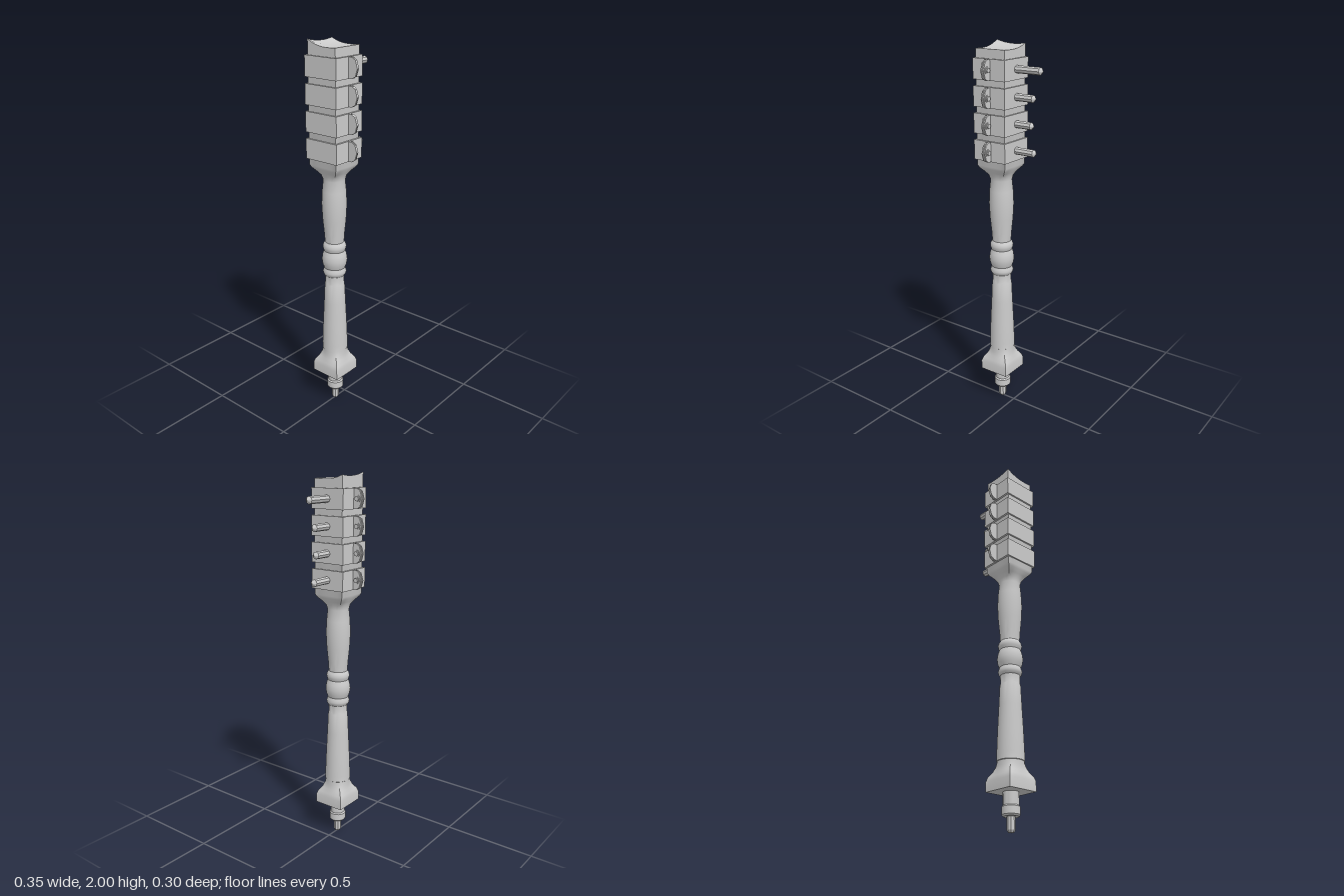
import * as THREE from 'three';
import { toCreasedNormals } from 'three/addons/utils/BufferGeometryUtils.js';

const material = new THREE.MeshStandardMaterial({ color: 0xcccccc });
const AXIS = -0.08; // x of the shaft's centre line

function add(parent, name, geometry, x = 0, y = 0, z = 0) {
  const mesh = new THREE.Mesh(geometry, material);
  mesh.name = name;
  mesh.position.set(x, y, z);
  parent.add(mesh);
  return mesh;
}

// Lofts sections [y, half width, squareness 0..1] with a shaped top cap
function loft(sections, topHeight, sides = 32) {
  const pos = [], index = [];
  const point = (half, square, a) => {
    const c = Math.cos(a), s = Math.sin(a);
    const r = half * (1 - square + square / Math.max(Math.abs(c), Math.abs(s)));
    return [r * c, r * s];
  };
  const rows = sections.map(([y, half, square]) => ({ y, half, square }));
  const last = rows[rows.length - 1];
  for (const k of [1, 0.75, 0.5, 0.25, 0.001]) rows.push({ half: last.half * k, square: 1, top: true });
  rows.unshift({ y: rows[0].y, half: 0.001, square: rows[0].square });
  for (const row of rows) {
    for (let i = 0; i < sides; i++) {
      const [x, z] = point(row.half, row.square, (i / sides) * Math.PI * 2);
      pos.push(x, row.top ? topHeight(x, z) : row.y, z);
    }
  }
  for (let j = 0; j < rows.length - 1; j++) {
    for (let i = 0; i < sides; i++) {
      const a = j * sides + i, b = j * sides + (i + 1) % sides;
      index.push(a, a + sides, b, b, a + sides, b + sides);
    }
  }
  const g = new THREE.BufferGeometry();
  g.setAttribute('position', new THREE.Float32BufferAttribute(pos, 3));
  g.setIndex(index);
  return toCreasedNormals(g, 0.6);
}

function extrude(points, depth) {
  const shape = new THREE.Shape(points.map(([x, y]) => new THREE.Vector2(x, y)));
  return new THREE.ExtrudeGeometry(shape, { depth, bevelEnabled: false });
}

// Half of a clamp: a U-shaped strap opening toward +x
function strapHalf(height) {
  const o = 0.096, i = 0.0875, w = 0.099, v = 0.0885, e = -0.004;
  const g = extrude([[e, w], [-o, w], [-o, -w], [e, -w], [e, -v], [-i, -v], [-i, v], [e, v]], height);
  return g.rotateX(-Math.PI / 2).translate(0, -height / 2, 0);
}

// Tapered ear, standing in the zy plane and reaching outward along +z
function ear(reach, thickness) {
  const g = extrude([[0.088, -0.05], [0.118, -0.05], [reach - 0.012, -0.038], [reach, 0],
    [reach - 0.012, 0.038], [0.118, 0.05], [0.088, 0.05]], thickness);
  return g.rotateY(-Math.PI / 2).translate(thickness / 2, 0, 0);
}

// Clamp of two straps, paired ears and bolts, with a spike on one side
function clamp(y, spikeEnd) {
  const group = new THREE.Group();
  group.name = 'clamp';
  group.position.set(AXIS, y, 0);
  const strap = strapHalf(0.102);
  add(group, 'rightStrap', strap);
  add(group, 'leftStrap', strap).rotation.y = Math.PI;

  for (const s of [1, -1]) {
    const side = new THREE.Group();
    side.name = s > 0 ? 'frontEars' : 'backEars';
    add(side, 'outerEar', ear(0.152, 0.007), -0.004);
    add(side, 'innerEar', ear(0.148, 0.007), 0.006);
    const washer = new THREE.CylinderGeometry(0.018, 0.018, 0.004, 16).rotateZ(Math.PI / 2);
    add(side, 'washer', washer, 0.011, 0, 0.122);
    const head = new THREE.CylinderGeometry(0.013, 0.013, 0.008, 6).toNonIndexed().rotateZ(Math.PI / 2);
    head.computeVertexNormals();
    add(side, 'boltHead', head, 0.016, 0, 0.122);
    side.scale.z = s;
    group.add(side);
  }

  // Spike: eight-sided rod with a pointed tip
  const length = spikeEnd - AXIS;
  const rod = new THREE.LatheGeometry([[0, 0.08], [0.019, 0.08], [0.019, length - 0.016], [0, length]]
    .map(([r, h]) => new THREE.Vector2(r, h)), 8).rotateZ(-Math.PI / 2);
  add(group, 'spike', toCreasedNormals(rod, 0.3));
  return group;
}

export function createModel() {
  const model = new THREE.Group();
  model.name = 'studdedClub';

  // Turned handle running from square pommel to square head
  const body = [
    [0.19, 0.085, 1], [0.24, 0.085, 1], [0.262, 0.08, 0.9], [0.285, 0.071, 0.55], [0.31, 0.067, 0.2],
    [0.335, 0.066, 0], [0.337, 0.069, 0], [0.37, 0.069, 0], [0.5, 0.064, 0], [0.62, 0.058, 0], [0.73, 0.053, 0],
    [0.737, 0.05, 0], [0.78, 0.051, 0], [0.79, 0.059, 0], [0.802, 0.062, 0], [0.814, 0.058, 0], [0.825, 0.055, 0],
    [0.845, 0.063, 0], [0.872, 0.067, 0], [0.9, 0.063, 0], [0.922, 0.055, 0], [0.935, 0.06, 0], [0.947, 0.062, 0],
    [0.96, 0.058, 0], [0.972, 0.05, 0], [1.02, 0.053, 0], [1.1, 0.061, 0], [1.18, 0.065, 0], [1.25, 0.062, 0],
    [1.31, 0.056, 0], [1.335, 0.06, 0.2], [1.355, 0.07, 0.55], [1.375, 0.081, 0.9], [1.39, 0.0865, 1],
    [1.92, 0.0865, 1],
  ];
  // Rough, sloping end of the head, highest at the back
  const topHeight = (x, z) => {
    const t = 0.5 - z / 0.173, u = x / 0.0865;
    return 1.966 + 0.006 * (1 - t) ** 2 + t ** 3 * (0.02 + 0.01 * u * u - 0.004 * u);
  };
  add(model, 'body', loft(body, topHeight), AXIS);

  // Stepped collar and faceted stud under the pommel
  const collar = [[0, 0.075], [0.038, 0.075], [0.045, 0.083], [0.045, 0.12], [0.039, 0.127],
    [0.039, 0.19], [0, 0.19]].map(([r, y]) => new THREE.Vector2(r, y));
  add(model, 'collar', toCreasedNormals(new THREE.LatheGeometry(collar, 24), 0.6), AXIS);
  const stud = [[0, 0], [0.014, 0.002], [0.021, 0.014], [0.021, 0.08]].map(([r, y]) => new THREE.Vector2(r, y));
  add(model, 'stud', toCreasedNormals(new THREE.LatheGeometry(stud, 8), 0.3), AXIS);

  // Four clamps up the head, each with its own spike length
  for (const [y, end] of [[1.473, 0.138], [1.608, 0.122], [1.742, 0.132], [1.876, 0.172]]) {
    model.add(clamp(y, end));
  }
  return model;
}
